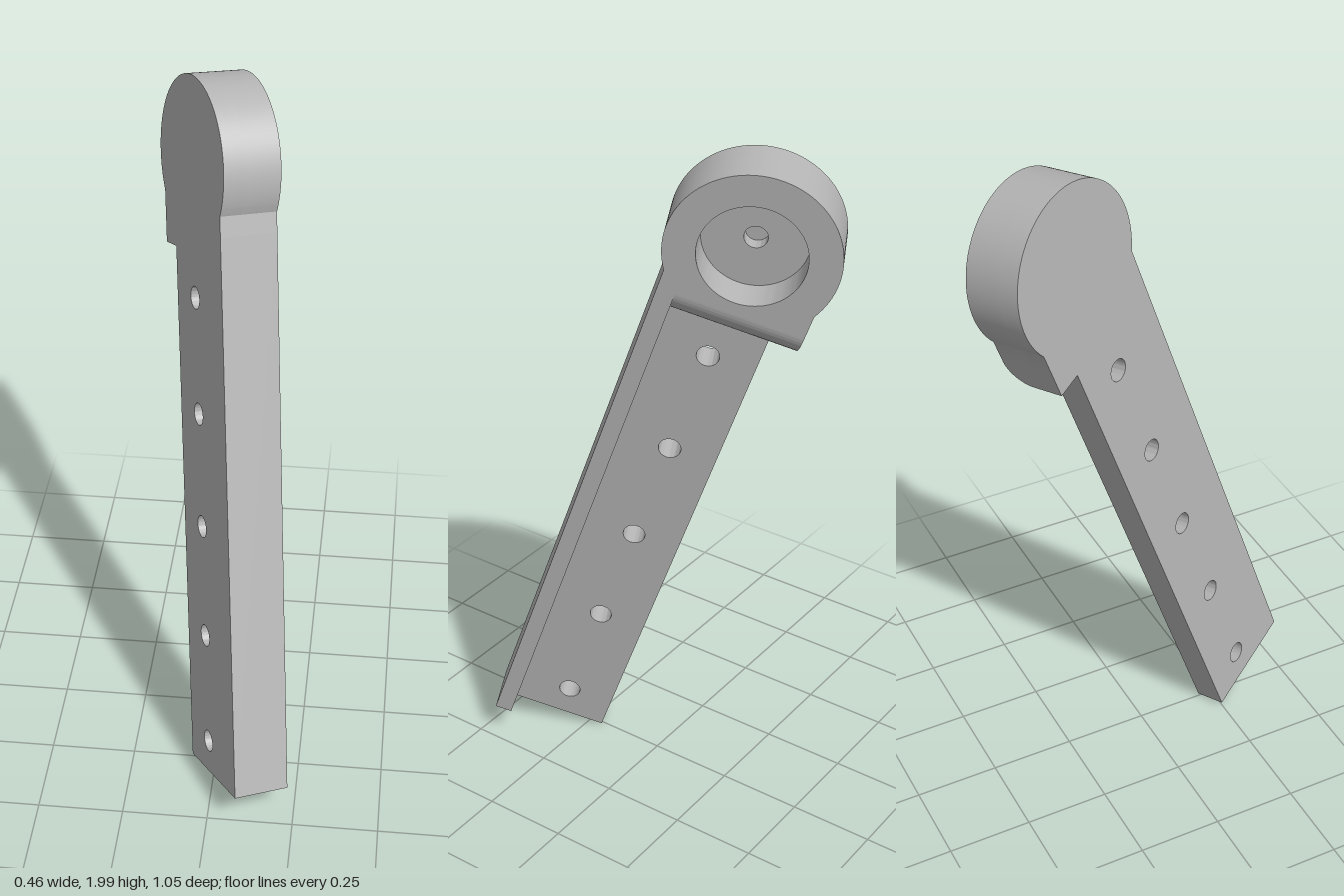
import * as THREE from 'three';
import { toCreasedNormals } from 'three/addons/utils/BufferGeometryUtils.js';

// Local frame: x across the arm, y along the arm, z through its thickness.
const THICK = 0.165, PLATE = 0.09, RAIL = 0.05, WIDTH = 0.335;
const HEAD = { x: 0.2, y: 1.815, r: 0.235 };
const NECK = 1.635, BOSS_END = 1.56, BOSS_SIDE = 0.41;

export function createModel() {
  const metal = new THREE.MeshStandardMaterial({ color: 0xb4b4b4 });
  metal.name = 'grey metal';
  const arm = new THREE.Group();
  arm.name = 'arm';

  const add = (name, geometry) => {
    const mesh = new THREE.Mesh(geometry, metal);
    mesh.name = name;
    arm.add(mesh);
  };
  const extrude = (shape, depth) => toCreasedNormals(
    new THREE.ExtrudeGeometry(shape, { depth, bevelEnabled: false, curveSegments: 48 }), 0.5);
  const hole = (shape, x, y, r) =>
    shape.holes.push(new THREE.Path().absarc(x, y, r, 0, Math.PI * 2, true));

  // Flat plate with a row of through holes
  const plate = new THREE.Shape([
    new THREE.Vector2(RAIL, 0), new THREE.Vector2(WIDTH, 0),
    new THREE.Vector2(WIDTH, BOSS_END), new THREE.Vector2(RAIL, BOSS_END),
  ]);
  for (let i = 0; i < 5; i++) hole(plate, 0.2, 0.098 + i * 0.3345, 0.032);
  add('plate', extrude(plate, PLATE));

  // Raised rail along one edge
  add('rail', new THREE.BoxGeometry(RAIL, NECK, THICK).translate(RAIL / 2, NECK / 2, THICK / 2));

  // Rounded shoulder between plate and head
  const roll = new THREE.Shape();
  roll.moveTo(0, BOSS_END);
  roll.lineTo(PLATE, BOSS_END);
  roll.absarc(PLATE, NECK, THICK - PLATE, -Math.PI / 2, 0, false);
  roll.lineTo(0, NECK);
  add('shoulder', extrude(roll, BOSS_SIDE - RAIL).rotateY(-Math.PI / 2).translate(BOSS_SIDE, 0, 0));

  // Round head in three layers: solid back, pilot hole, wide recess
  const headLayer = (name, z0, z1, holeRadius) => {
    const s = new THREE.Shape();
    s.moveTo(0, NECK);
    s.lineTo(BOSS_SIDE, NECK);
    s.absarc(HEAD.x, HEAD.y, HEAD.r, -Math.acos((BOSS_SIDE - HEAD.x) / HEAD.r),
      Math.PI + Math.acos(HEAD.x / HEAD.r), false);
    if (holeRadius) hole(s, HEAD.x, HEAD.y, holeRadius);
    add(name, extrude(s, z1 - z0).translate(0, 0, z0));
  };
  headLayer('headBack', 0, 0.02, 0);
  headLayer('headPilotHole', 0.02, 0.06, 0.032);
  headLayer('headRecess', 0.06, THICK, 0.146);

  // Tilt the whole arm into its resting pose
  const along = new THREE.Vector3(-0.0598, 0.9413, -0.3323).normalize();
  const through = new THREE.Vector3(0.8825, -0.1054, -0.458).normalize();
  const across = new THREE.Vector3().crossVectors(along, through).normalize();
  arm.quaternion.setFromRotationMatrix(new THREE.Matrix4().makeBasis(across, along, through));
  arm.position.set(0.085, 0.118, 0.526);

  const model = new THREE.Group();
  model.name = 'bracket';
  model.add(arm);
  return model;
}
